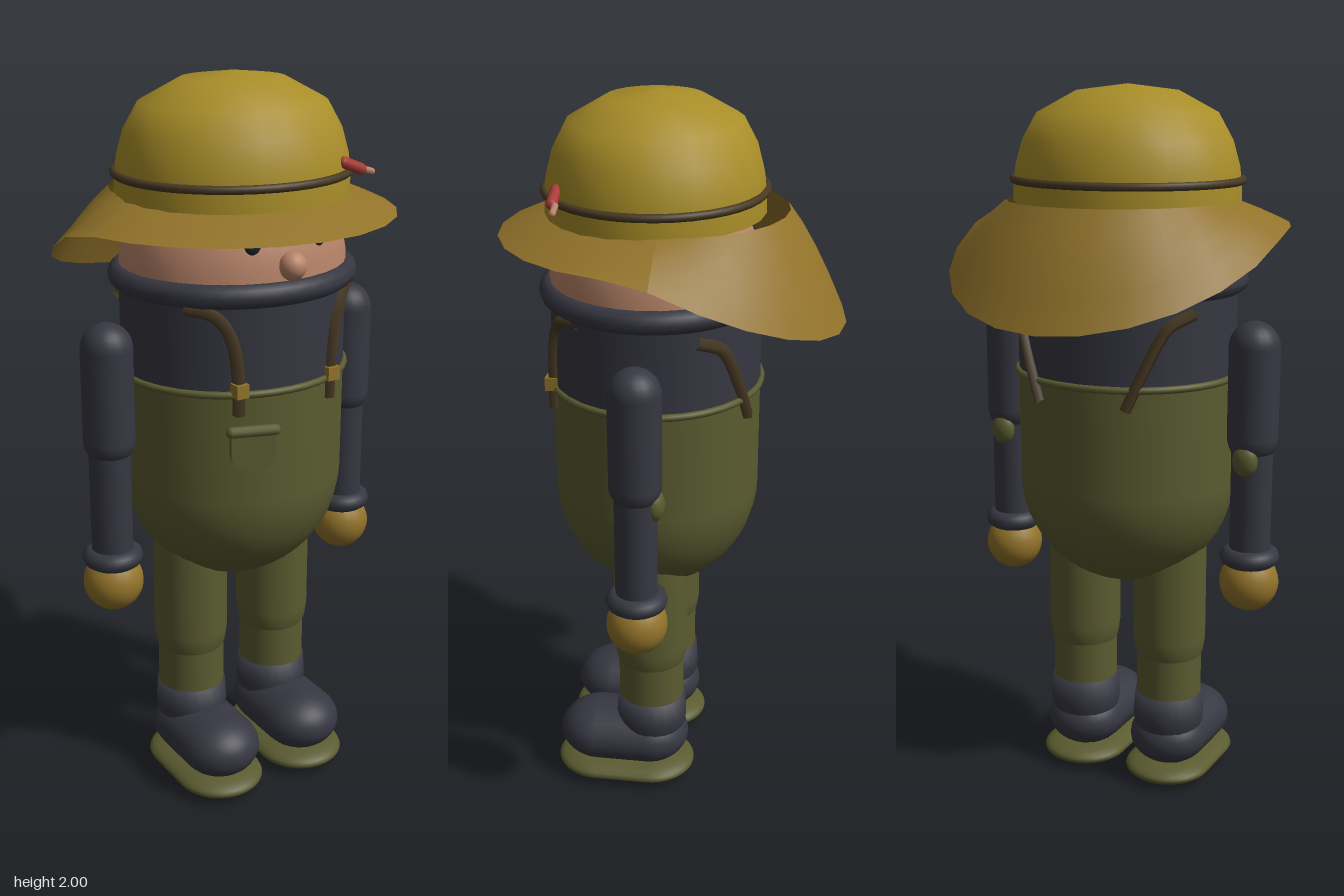
import * as THREE from 'three';

const mat = (name, color, side = THREE.FrontSide) => {
  const m = new THREE.MeshStandardMaterial({ color, side });
  m.name = name;
  return m;
};

export function createModel() {
  const model = new THREE.Group();
  model.name = 'fisherFigure';
  const yellow = mat('hatYellow', 0xa88d28, THREE.DoubleSide);
  const mustard = mat('mustard', 0x92732a, THREE.DoubleSide);
  const navy = mat('navy', 0x363741);
  const olive = mat('olive', 0x5a5b30);
  const skin = mat('skin', 0xb88469);
  const brown = mat('strapBrown', 0x483a24, THREE.DoubleSide);
  const red = mat('floatRed', 0xa83a34);
  const black = mat('eyeBlack', 0x24252c);

  const CZ = 0.048, R = 0.31, FLAT = 0.92; // body axis, half width, depth ratio

  const add = (parent, name, geo, material, x = 0, y = 0, z = 0) => {
    const mesh = new THREE.Mesh(geo, material);
    mesh.name = name;
    mesh.position.set(x, y, z);
    parent.add(mesh);
    return mesh;
  };
  const lathe = (pts, n = 32) => new THREE.LatheGeometry(pts.map(p => new THREE.Vector2(...p)), n);
  const ring = (r, tube) => new THREE.TorusGeometry(r, tube, 10, 40).rotateX(Math.PI / 2);
  const ball = (r, n = 20) => new THREE.SphereGeometry(r, n, 14);
  const arc = (from, to, cy, n = 12) => Array.from({ length: n + 1 }, (_, i) => {
    const a = from + (to - from) * i / n;
    return [Math.max(0, R * Math.cos(a)), cy + R * Math.sin(a)];
  });

  // Round parts that share the slightly flattened body section
  const torso = new THREE.Group();
  torso.name = 'torso';
  torso.position.z = CZ;
  torso.scale.z = FLAT;
  model.add(torso);
  add(torso, 'waders', lathe([...arc(-Math.PI / 2, 0, 0.92), [R, 1.225]]), olive);
  add(torso, 'jacket', new THREE.CylinderGeometry(R, R, 0.275, 32, 1, true), navy, 0, 1.3625);
  add(torso, 'head', lathe(arc(0, Math.PI / 2, 1.5)), skin);
  add(torso, 'waderTrim', ring(R + 0.002, 0.01), olive, 0, 1.225);
  add(torso, 'collar', ring(0.308, 0.032), navy, 0, 1.483);
  add(torso, 'hatCrown', lathe([[0.316, 1.69], [0.315, 1.74], [0.309, 1.79], [0.29, 1.855],
    [0.25, 1.925], [0.14, 1.983], [0, 2]], 24), yellow);
  add(torso, 'hatBand', ring(0.316, 0.011), brown, 0, 1.75);

  // Hat brim: a ring sloping outwards, drooping towards the back
  const brim = new THREE.RingGeometry(0.305, 0.463, 24, 4).rotateX(-Math.PI / 2);
  const p = brim.attributes.position;
  for (let i = 0; i < p.count; i++) {
    const z = p.getZ(i);
    const t = Math.max(0, (Math.hypot(p.getX(i), z) - 0.305) / 0.158);
    p.setY(i, 1.7 - 0.064 * Math.pow(t, 1.2) - t * 0.46 * Math.max(0, CZ - z));
  }
  brim.computeVertexNormals();
  add(model, 'hatBrim', brim, mustard);

  // Fishing float tucked in the hat band
  const float = add(model, 'float', new THREE.CapsuleGeometry(0.015, 0.06, 4, 10), red, 0.22, 1.77, 0.271);
  float.rotation.z = Math.PI / 2 - 0.38;
  const tip = add(model, 'floatTip', new THREE.CapsuleGeometry(0.009, 0.035, 4, 8), skin, 0.275, 1.752, 0.26);
  tip.rotation.z = Math.PI / 2 - 0.3;

  add(model, 'nose', ball(0.037), skin, 0, 1.55, 0.332);

  // Chest pocket with flap, turned to follow the body
  const pocket = new THREE.Group();
  pocket.name = 'pocket';
  pocket.position.set(-0.105, 1.12, 0.318);
  pocket.rotation.y = -0.32;
  model.add(pocket);
  const s = new THREE.Shape();
  s.moveTo(-0.06, 0.01);
  s.lineTo(-0.06, -0.05);
  s.quadraticCurveTo(-0.058, -0.095, -0.02, -0.095);
  s.lineTo(0.02, -0.095);
  s.quadraticCurveTo(0.058, -0.095, 0.06, -0.05);
  s.lineTo(0.06, 0.01);
  add(pocket, 'pocketBag', new THREE.ExtrudeGeometry(s, { depth: 0.03, bevelEnabled: false }), olive, 0, 0, -0.018);
  const flap = add(pocket, 'pocketFlap', new THREE.CapsuleGeometry(0.015, 0.115, 4, 10).rotateZ(Math.PI / 2),
    olive, 0, 0.008, 0.008);
  flap.scale.z = 1.1;

  // Strap running over the body surface; dir is 1 for front, -1 for back
  const strap = (side, dir, pts) => new THREE.TubeGeometry(
    new THREE.CatmullRomCurve3(pts.map(([x, y]) => new THREE.Vector3(
      side * x, y, CZ + dir * (FLAT * Math.sqrt(R * R - x * x) + 0.004)))), 20, 0.017, 4);

  for (const side of [1, -1]) {
    const name = side > 0 ? 'left' : 'right';
    const eye = add(model, name + 'Eye', ball(0.026), black, side * 0.097, 1.61, 0.298);
    eye.scale.set(0.9, 1.15, 0.6);

    add(model, name + 'FrontStrap', strap(side, 1,
      [[0.25, 1.45], [0.19, 1.43], [0.157, 1.37], [0.142, 1.27], [0.14, 1.17]]), brown);
    add(model, name + 'BackStrap', strap(side, -1,
      [[0.27, 1.42], [0.225, 1.39], [0.205, 1.355], [0.165, 1.26], [0.128, 1.17]]), brown);
    add(model, name + 'Buckle', new THREE.BoxGeometry(0.036, 0.036, 0.034), mustard, side * 0.141, 1.24, 0.312);

    // Arm
    const arm = new THREE.Group();
    arm.name = name + 'Arm';
    arm.position.set(side * 0.383, 0, CZ);
    model.add(arm);
    add(arm, 'upperArm', new THREE.CapsuleGeometry(0.07, 0.25, 8, 20), navy, 0, 1.195, 0);
    add(arm, 'forearm', new THREE.CylinderGeometry(0.057, 0.057, 0.4, 20), navy, 0, 0.9, 0);
    add(arm, 'cuff', ring(0.056, 0.027), navy, 0, 0.73, 0);
    add(arm, 'wrist', new THREE.CylinderGeometry(0.064, 0.064, 0.04, 20), navy, 0, 0.71, 0);
    add(arm, 'mitten', ball(0.083), mustard, 0, 0.655, 0);
    add(arm, 'elbowPatch', ball(0.045), olive, 0, 1.015, -0.05).scale.set(0.8, 1, 0.6);

    // Leg
    const leg = new THREE.Group();
    leg.name = name + 'Leg';
    leg.position.set(side * 0.139, 0, CZ);
    model.add(leg);
    add(leg, 'thigh', lathe([[0.09, 0.385], [0.1, 0.41], [0.105, 0.45], [0.105, 0.75]], 24), olive);
    add(leg, 'shin', new THREE.CylinderGeometry(0.094, 0.094, 0.2, 24), olive, 0, 0.35, 0);
    add(leg, 'bootShaft', lathe([[0.085, 0.13], [0.1, 0.18], [0.103, 0.21], [0.098, 0.275], [0, 0.275]], 24), navy);
    const foot = add(leg, 'bootFoot', new THREE.CapsuleGeometry(0.115, 0.15, 10, 24).rotateX(Math.PI / 2),
      navy, 0, 0.132, 0.082);
    foot.scale.y = 0.74;
    const sole = add(leg, 'bootSole', new THREE.CapsuleGeometry(0.126, 0.155, 10, 24).rotateX(Math.PI / 2),
      olive, 0, 0.035, 0.078);
    sole.scale.y = 0.277;
  }
  return model;
}
